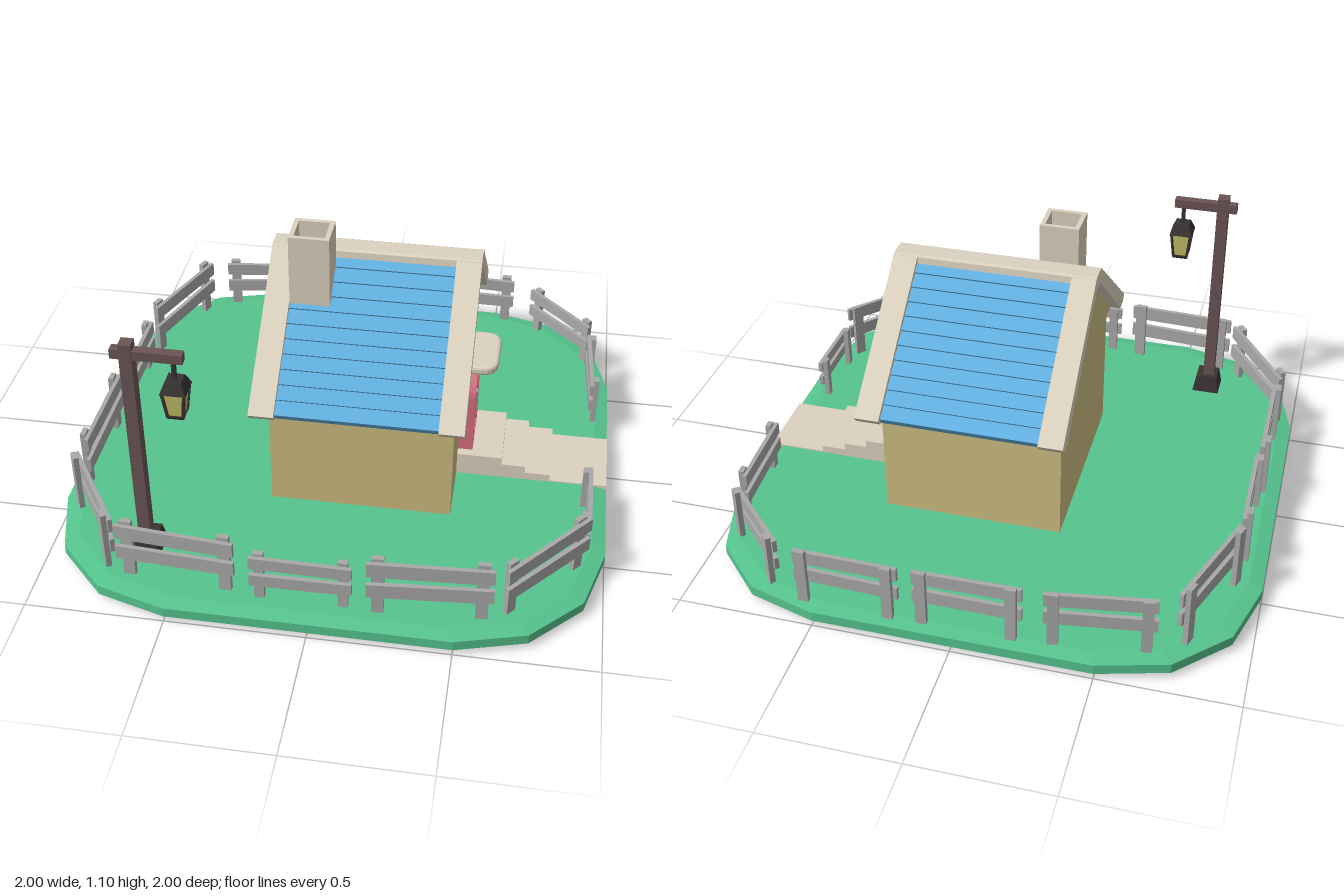
import * as THREE from 'three';
import { ConvexGeometry } from 'three/addons/geometries/ConvexGeometry.js';

const mat = (color, extra = {}) => new THREE.MeshStandardMaterial({ color, flatShading: true, ...extra });
const M = {
  grass: mat(0x56c48e), wall: mat(0xcdbd80), trim: mat(0xdcd2bf), roof: mat(0x62b0e0),
  door: mat(0xd4707f), panel: mat(0xb85f6d), gap: mat(0x5a2f38), pane: mat(0x5b72d0),
  fence: mat(0xa9a9a9), post: mat(0x6b5454), iron: mat(0x3a3233), glow: mat(0xc6c468), metal: mat(0xcccccc),
};

function add(parent, name, geo, material, x = 0, y = 0, z = 0) {
  const m = new THREE.Mesh(geo, material);
  m.name = name;
  m.position.set(x, y, z);
  parent.add(m);
  return m;
}

// Box given by its minimum and maximum corners
const span = (parent, name, material, [x0, y0, z0], [x1, y1, z1]) =>
  add(parent, name, new THREE.BoxGeometry(x1 - x0, y1 - y0, z1 - z0), material,
    (x0 + x1) / 2, (y0 + y1) / 2, (z0 + z1) / 2);

// Extrude a shape drawn in (-z, y) along x from x0 to x1
function extrudeX(parent, name, material, shape, x0, x1) {
  const g = new THREE.ExtrudeGeometry(shape, { depth: x1 - x0, bevelEnabled: false, curveSegments: 10 });
  g.rotateY(Math.PI / 2);
  return add(parent, name, g, material, x0, 0, 0);
}

// Closed shape from a right half, mirrored
const mirrored = half => new THREE.Shape(
  [...half, ...half.map(([a, b]) => [-a, b]).reverse()].map(p => new THREE.Vector2(...p)));

// Square frustum with sides facing the axes
function frustum(top, bottom, h) {
  return new THREE.CylinderGeometry(top * Math.SQRT2, bottom * Math.SQRT2, h, 4).rotateY(Math.PI / 4);
}

function ground(root) {
  const quarter = [[1, 0.5], [0.93, 0.75], [0.75, 0.93], [0.5, 1]];
  const pts = [];
  for (const [s, y] of [[0.86, 0], [1, 0.022], [1, 0.06], [0.95, 0.072]])
    for (const [x, z] of quarter)
      for (const sx of [-1, 1]) for (const sz of [-1, 1]) pts.push(new THREE.Vector3(x * s * sx, y, z * s * sz));
  add(root, 'ground', new ConvexGeometry(pts), M.grass);
}

function house(root) {
  const g = new THREE.Group();
  g.name = 'house';
  root.add(g);
  extrudeX(g, 'walls', M.wall, mirrored([[0.385, 0.06], [0.385, 0.545], [0.47, 0.545], [0.03, 0.915]]), -0.24, 0.43);

  // Gable trim on both ends, then the ridge cap
  const band = new THREE.Shape([[0.54, 0.57], [0.04, 0.965], [-0.04, 0.965], [-0.54, 0.57], [-0.52, 0.545],
    [-0.465, 0.545], [-0.03, 0.91], [0.03, 0.91], [0.465, 0.545], [0.52, 0.545]].map(p => new THREE.Vector2(...p)));
  extrudeX(g, 'gableTrim', M.trim, band, -0.28, -0.19);
  extrudeX(g, 'gableTrim', M.trim, band, 0.385, 0.475);
  extrudeX(g, 'ridgeCap', M.trim, mirrored([[0.05, 0.925], [0.045, 0.962], [0.035, 0.967]]), -0.28, 0.475);

  // Overlapping roof boards
  const rows = 11, slope = Math.atan2(0.395, 0.5);
  for (const s of [-1, 1]) {
    for (let i = 0; i < rows; i++) {
      const t = (i + 0.5) / rows;
      const b = add(g, 'roofBoard', new THREE.BoxGeometry(0.575, 0.03, 0.064), M.roof,
        0.0975, 0.554 + 0.385 * t, s * (0.508 - 0.485 * t));
      b.rotation.x = s * (slope - 0.13);
    }
    span(g, 'eave', M.trim, [-0.19, 0.545, s > 0 ? 0.38 : -0.5], [0.385, 0.555, s > 0 ? 0.5 : -0.38]);
  }

  // Hollow chimney
  const flue = new THREE.Shape([[-0.19, -0.2], [-0.045, -0.2], [-0.045, -0.062], [-0.19, -0.062]].map(p => new THREE.Vector2(...p)));
  flue.holes.push(new THREE.Path([[-0.173, -0.183], [-0.173, -0.079], [-0.062, -0.079], [-0.062, -0.183]].map(p => new THREE.Vector2(...p))));
  const fg = new THREE.ExtrudeGeometry(flue, { depth: 0.27, bevelEnabled: false }).rotateX(-Math.PI / 2);
  add(g, 'chimney', fg, M.trim, 0, 0.825, 0);

  // Four-pane window
  span(g, 'windowPanes', M.pane, [0.42, 0.615, -0.085], [0.438, 0.785, 0.085]);
  for (const k of [-1, 0, 1]) {
    const w = k ? 0.01 : 0.007;
    span(g, 'windowFrame', M.trim, [0.42, 0.61, k * 0.08 - w], [0.452, 0.79, k * 0.08 + w]);
    span(g, 'windowFrame', M.trim, [0.42, 0.7 + k * 0.08 - w, -0.09], [0.45, 0.7 + k * 0.08 + w, 0.09]);
  }
}

// Arched outline with half width w, spring height and rise
function arch(Type, w, y0, spring, rise) {
  const p = new Type();
  p.moveTo(-w, y0);
  p.lineTo(w, y0);
  p.lineTo(w, spring);
  p.absellipse(0, spring, w, rise, 0, Math.PI, false);
  p.closePath();
  return p;
}

function entrance(root) {
  const g = new THREE.Group();
  g.name = 'entrance';
  root.add(g);
  const frame = arch(THREE.Shape, 0.105, 0.16, 0.4, 0.09);
  frame.holes.push(arch(THREE.Path, 0.078, 0.17, 0.4, 0.063));
  extrudeX(g, 'doorFrame', M.door, frame, 0.43, 0.485);
  extrudeX(g, 'doorBacking', M.gap, arch(THREE.Shape, 0.08, 0.165, 0.4, 0.065), 0.43, 0.45);
  // Planks that follow the arch
  for (let i = -2; i <= 2; i++) {
    const c = i * 0.031, a = c - 0.0135, b = c + 0.0135;
    const top = z => 0.4 + 0.06 * Math.sqrt(Math.max(0, 1 - (z / 0.078) ** 2));
    const plank = new THREE.Shape([[a, 0.168], [b, 0.168], [b, top(b)], [c, top(c)], [a, top(a)]].map(p => new THREE.Vector2(...p)));
    extrudeX(g, 'doorPlank', M.panel, plank, 0.445, 0.462);
  }
  add(g, 'doorKnob', new THREE.SphereGeometry(0.013, 10, 8), M.metal, 0.475, 0.33, -0.045);

  // Rounded canopy over the door
  const c = new THREE.Shape();
  c.moveTo(0.43, -0.11);
  c.lineTo(0.5, -0.11);
  c.quadraticCurveTo(0.55, -0.11, 0.55, -0.06);
  c.lineTo(0.55, 0.06);
  c.quadraticCurveTo(0.55, 0.11, 0.5, 0.11);
  c.lineTo(0.43, 0.11);
  const cg = new THREE.ExtrudeGeometry(c, { depth: 0.014, bevelSize: 0.011, bevelThickness: 0.01, bevelSegments: 2, curveSegments: 5 });
  add(g, 'canopy', cg.rotateX(-Math.PI / 2), M.trim, 0, 0.535, 0);

  // Steps and path
  [[0.43, 0.6, 0.162], [0.6, 0.69, 0.132], [0.69, 0.785, 0.103], [0.785, 1, 0.077]].forEach(([x0, x1, y], i) =>
    span(g, i < 3 ? 'step' : 'path', M.trim, [x0, 0.05, -0.145], [x1, y, 0.14]));
}

// Panel from (x0,z0) to (x1,z1); side puts the posts on its local +z or -z face
function fencePanel(root, [x0, z0, x1, z1, side]) {
  const g = new THREE.Group();
  g.name = 'fencePanel';
  const L = Math.hypot(x1 - x0, z1 - z0), h = L * 0.58;
  g.position.set((x0 + x1) / 2, 0.068, (z0 + z1) / 2);
  g.rotation.y = -Math.atan2(z1 - z0, x1 - x0);
  for (const [y, tilt] of [[0.47, 0.008], [0.83, -0.012]]) {
    const r = add(g, 'fenceRail', new THREE.BoxGeometry(L, h * 0.23, 0.016), M.fence, 0, h * y, 0);
    r.rotation.z = tilt;
  }
  for (const s of [-1, 1])
    add(g, 'fencePost', new THREE.BoxGeometry(L * 0.1, h, 0.02), M.fence, s * L * 0.41, h / 2, side * 0.017);
  root.add(g);
}

function lampPost(root) {
  const g = new THREE.Group();
  g.name = 'lampPost';
  g.position.set(-0.63, 0, 0.71);
  root.add(g);
  add(g, 'lampBase', frustum(0.042, 0.055, 0.075), M.iron, 0.005, 0.102, 0);
  span(g, 'post', M.post, [-0.022, 0.07, -0.023], [0.022, 0.963, 0.023]);
  span(g, 'arm', M.post, [-0.055, 0.902, -0.017], [0.19, 0.937, 0.017]);
  const l = new THREE.Group();
  l.name = 'lantern';
  l.position.x = 0.155;
  g.add(l);
  span(l, 'hanger', M.iron, [-0.007, 0.82, -0.007], [0.007, 0.905, 0.007]);
  add(l, 'lanternCap', frustum(0.028, 0.045, 0.042), M.iron, 0, 0.812, 0);
  add(l, 'lanternGlass', frustum(0.037, 0.026, 0.1), M.glow, 0, 0.742, 0);
  add(l, 'lanternFoot', frustum(0.032, 0.028, 0.013), M.iron, 0, 0.69, 0);
  // Slanted corner bars
  for (const sx of [-1, 1]) for (const sz of [-1, 1]) {
    const b = add(l, 'lanternBar', new THREE.BoxGeometry(0.01, 0.105, 0.01), M.iron, sx * 0.032, 0.742, sz * 0.032);
    b.rotation.set(sz * 0.11, 0, -sx * 0.11);
  }
}

export function createModel() {
  const root = new THREE.Group();
  root.name = 'cottage';
  ground(root);
  house(root);
  entrance(root);
  lampPost(root);
  [
    [-0.69, -0.875, -0.31, -0.93, -1], [-0.24, -0.937, 0.145, -0.937, -1], [0.195, -0.943, 0.575, -0.932, -1],
    [0.655, -0.9, 0.905, -0.65, -1], [0.905, -0.59, 0.925, -0.24, -1], [0.93, 0.225, 0.93, 0.52, 1],
    [0.93, 0.57, 0.665, 0.875, 1], [0.195, 0.925, 0.625, 0.895, -1], [-0.21, 0.915, 0.145, 0.915, -1],
    [-0.69, 0.87, -0.265, 0.9, -1], [-0.71, 0.845, -0.94, 0.5, -1], [-0.922, 0.445, -0.92, 0.02, -1],
    [-0.905, 0, -0.905, -0.385, -1], [-0.9, -0.45, -0.755, -0.845, -1],
  ].forEach(p => fencePanel(root, p));
  return root;
}
